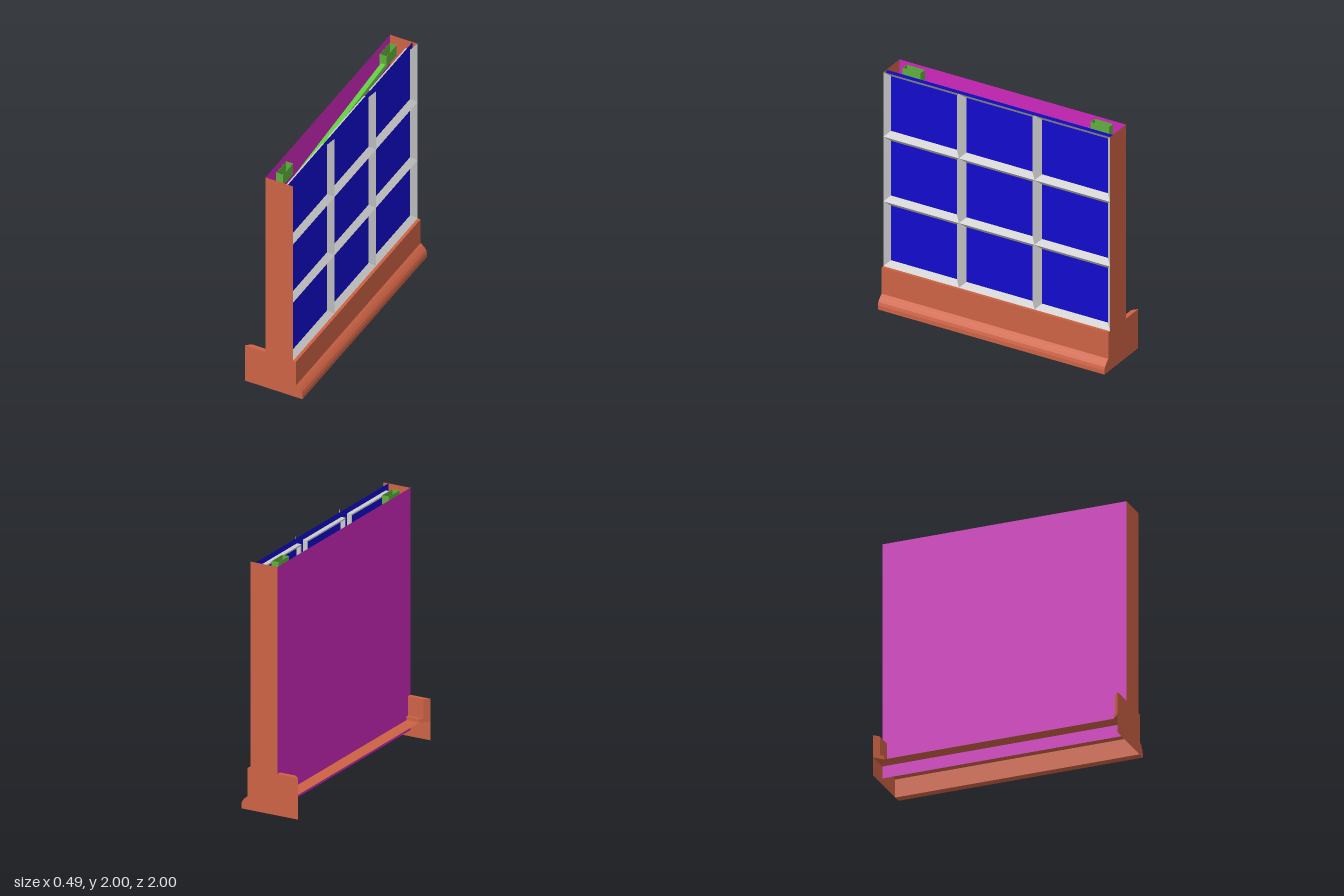
import * as THREE from 'three';

const mat = (color, side = THREE.FrontSide) =>
  new THREE.MeshStandardMaterial({ color, side, flatShading: true });

const ORANGE = mat(0xcc6244, THREE.DoubleSide);
const BLUE = mat(0x110acc, THREE.DoubleSide);
const MAGENTA = mat(0xcc28bb, THREE.DoubleSide);
const GREEN = mat(0x5fae3c, THREE.DoubleSide);
const LIME = mat(0x66cc44);
const GREY = mat(0xcccccc);

const shapeOf = (pts) => new THREE.Shape(pts.map(([x, y]) => new THREE.Vector2(x, y)));
const rect = (w, h) => [[-w / 2, -h / 2], [w / 2, -h / 2], [w / 2, h / 2], [-w / 2, h / 2]];

// Hollow rectangle, extruded by depth along z
function ringGeometry(w, h, t, depth) {
  const s = shapeOf(rect(w, h));
  s.holes.push(shapeOf(rect(w - 2 * t, h - 2 * t)));
  return new THREE.ExtrudeGeometry(s, { depth, bevelEnabled: false });
}

// Sloping window surround from the cell outline back to the glass
function funnelGeometry(w, h, inset, depth) {
  const loop = (hw, hh, x) => [[x, -hh, hw], [x, -hh, -hw], [x, hh, -hw], [x, hh, hw]];
  const o = loop(w / 2, h / 2, depth);
  const n = loop(w / 2 - inset, h / 2 - inset, 0);
  const pos = [];
  for (let i = 0; i < 4; i++) {
    const j = (i + 1) % 4;
    pos.push(...o[i], ...o[j], ...n[j], ...o[i], ...n[j], ...n[i]);
  }
  const g = new THREE.BufferGeometry();
  g.setAttribute('position', new THREE.Float32BufferAttribute(pos, 3));
  g.computeVertexNormals();
  return g;
}

export function createModel() {
  const model = new THREE.Group();
  const add = (name, geo, material, x = 0, y = 0, z = 0) => {
    const m = new THREE.Mesh(geo, material);
    m.name = name;
    m.position.set(x, y, z);
    model.add(m);
    return m;
  };

  // Rounded foot of the skirting, from the floor up to the board
  const bulge = [[0.243, 0], [0.243, 0.035], [0.235, 0.06], [0.22, 0.08], [0.205, 0.095], [0.187, 0.11]];

  // Skirting board along the window side
  const skirting = shapeOf([[0.18, 0], ...bulge, [0.187, 0.335], [0.15, 0.335], [0.15, 0.15], [0.18, 0.15]]);
  add('skirtingBoard', new THREE.ExtrudeGeometry(skirting, { depth: 2, bevelEnabled: false }), ORANGE, 0, 0, -1);

  // Thin floor with mitred back corners
  const floor = new THREE.ShapeGeometry(shapeOf([[0.18, -1], [0.18, 1], [-0.25, 1], [-0.185, 0.94], [-0.185, -0.94], [-0.25, -1]]));
  floor.rotateX(-Math.PI / 2);
  add('floor', floor, ORANGE, 0, 0.15, 0);

  // End walls with the whole side outline, and stepped trims inside
  const end = shapeOf([[-0.25, 0], ...bulge, [0.187, 0.335], [0.162, 0.335], [0.162, 2], [-0.073, 2], [-0.073, 0.335], [-0.25, 0.335]]);
  for (const s of [1, -1]) {
    add('endWall', new THREE.ShapeGeometry(end), ORANGE, 0, 0, s);
    for (const [t, y0, y1] of [[0.037, 0.15, 0.335], [0.06, 0.15, 0.18]]) {
      const trim = shapeOf([[-0.25, s], [0.17, s], [0.17, s * (1 - t)], [-0.25 + t * 1.08, s * (1 - t)]]);
      const g = new THREE.ExtrudeGeometry(trim, { depth: y1 - y0, bevelEnabled: false });
      g.rotateX(-Math.PI / 2);
      add('endTrim', g, ORANGE, 0, y0, 0);
    }
  }

  // Flat back panel
  const back = new THREE.PlaneGeometry(2, 1.95);
  back.rotateY(-Math.PI / 2);
  add('backPanel', back, MAGENTA, -0.073, 1.025, 0);

  // Glass sheet behind the window grid
  const y0 = 0.335, cellH = (2 - y0) / 3, cellW = 2 / 3, inset = 0.043;
  const glass = new THREE.PlaneGeometry(2, 2 - y0);
  glass.rotateY(Math.PI / 2);
  add('glass', glass, BLUE, 0.119, (2 + y0) / 2, 0);

  // Three by three grid: sloping surround outside, slim frame inside
  const funnel = funnelGeometry(cellW, cellH, inset, 0.042);
  const frame = ringGeometry(cellW - 2 * inset, cellH - 2 * inset, 0.012, 0.038);
  frame.rotateY(Math.PI / 2);
  for (let r = 0; r < 3; r++) {
    for (let c = 0; c < 3; c++) {
      const y = y0 + (r + 0.5) * cellH, z = (c - 1) * cellW;
      add('windowSurround', funnel, GREY, 0.12, y, z);
      add('innerFrame', frame, GREY, 0.08, y, z);
    }
  }

  // Open sockets at the top, and the sloping bar between them
  const socket = ringGeometry(0.06, 0.16, 0.002, 0.1);
  socket.rotateX(-Math.PI / 2);
  for (const s of [1, -1]) add('socket', socket, GREEN, 0, 1.9, s * 0.83);
  const bar = add('slopingBar', new THREE.BoxGeometry(0.04, 0.04, 1.62), LIME, 0, 1.83, 0);
  bar.rotation.x = 0.09;

  return model;
}
